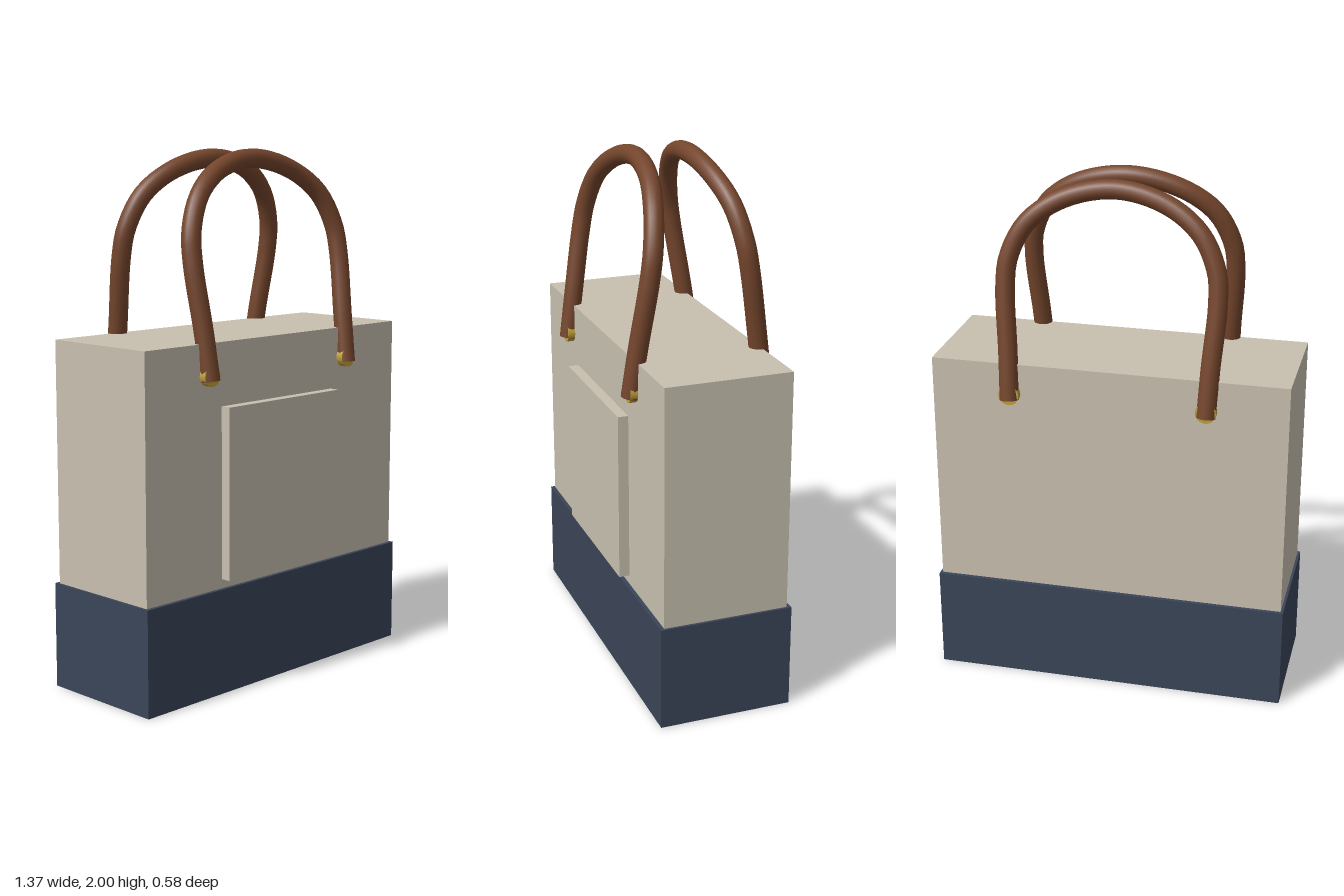
import * as THREE from 'three';

const material = (name, color, side = THREE.FrontSide) => {
  const m = new THREE.MeshStandardMaterial({ color, side });
  m.name = name;
  return m;
};

export function createModel() {
  const bag = new THREE.Group();
  bag.name = 'toteBag';
  const canvas = material('canvas', 0xc8c0b0);
  const navy = material('navy', 0x3b4558);
  const leather = material('leather', 0x74452c, THREE.DoubleSide);
  const brass = material('brass', 0xc0a03c);

  const add = (name, geometry, mat, x = 0, y = 0, z = 0) => {
    const mesh = new THREE.Mesh(geometry, mat);
    mesh.name = name;
    mesh.position.set(x, y, z);
    bag.add(mesh);
    return mesh;
  };
  const box = (name, mat, w, y0, y1, z0, z1) =>
    add(name, new THREE.BoxGeometry(w, y1 - y0, z1 - z0), mat, 0, (y0 + y1) / 2, (z0 + z1) / 2);

  // Bag body, slightly wider base and front pocket
  box('base', navy, 1.37, 0, 0.4, -0.255, 0.255);
  box('body', canvas, 1.35, 0.4, 1.315, -0.24, 0.24);
  box('frontPocket', canvas, 0.6, 0.435, 1.08, 0.24, 0.28);

  // Half of a handle's centre line, from the foot to just before the top
  const half = [
    [0.372, 1.18, 0.255], [0.38, 1.36, 0.229], [0.395, 1.6, 0.191],
    [0.384, 1.71, 0.173], [0.32, 1.835, 0.148], [0.19, 1.925, 0.118],
  ];
  for (const s of [1, -1]) {
    const side = s > 0 ? 'front' : 'back';
    const path = [
      ...half.map(([x, y, z]) => new THREE.Vector3(-x, y, s * z)),
      new THREE.Vector3(0, 1.965, s * 0.102),
      ...half.map(([x, y, z]) => new THREE.Vector3(x, y, s * z)).reverse(),
    ];
    add(side + 'Handle', new THREE.TubeGeometry(new THREE.CatmullRomCurve3(path), 64, 0.036, 16), leather);

    // Round rivets behind the handle feet
    for (const x of [-0.372, 0.372]) {
      const rivet = add(side + 'Rivet', new THREE.CylinderGeometry(0.039, 0.039, 0.035, 16), brass, x, 1.2, s * 0.25);
      rivet.rotation.x = Math.PI / 2;
    }
  }
  return bag;
}
